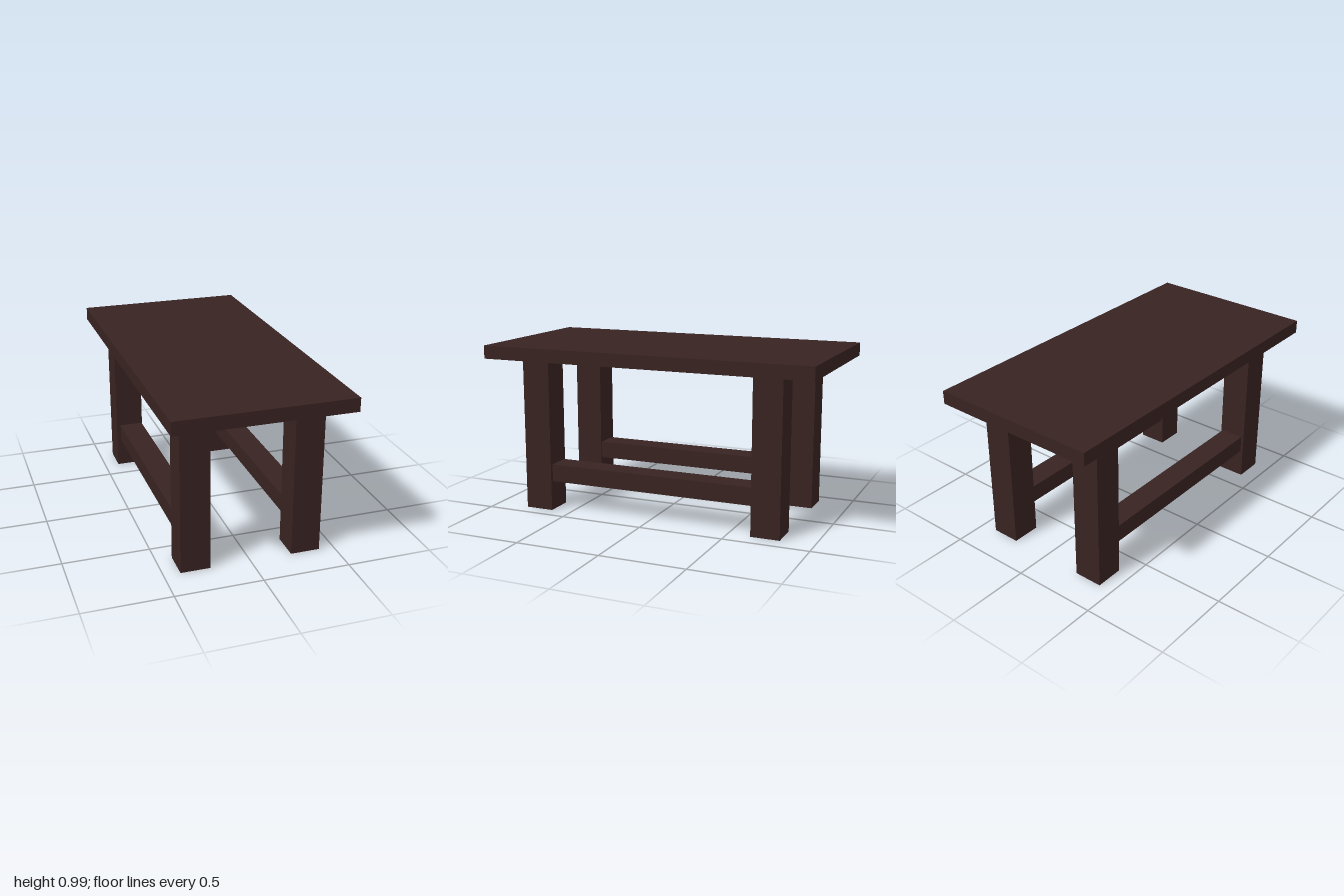
import * as THREE from 'three';

export function createModel() {
  const group = new THREE.Group();
  const wood = new THREE.MeshStandardMaterial({ color: 0x382322 });

  // Box spanning the given [min, max] range on each axis
  function beam(name, [x0, x1], [y0, y1], [z0, z1]) {
    const mesh = new THREE.Mesh(new THREE.BoxGeometry(x1 - x0, y1 - y0, z1 - z0), wood);
    mesh.position.set((x0 + x1) / 2, (y0 + y1) / 2, (z0 + z1) / 2);
    mesh.name = name;
    group.add(mesh);
  }

  // Table top
  beam('tableTop', [-0.505, 0.505], [0.912, 0.99], [-1, 1]);

  // Four square legs, set slightly unevenly: centre x, centre z
  const legs = {
    frontLeftLeg: [0.327, 0.709],
    frontRightLeg: [-0.32, 0.709],
    backLeftLeg: [0.318, -0.718],
    backRightLeg: [-0.328, -0.718],
  };
  const half = 0.085;
  for (const [name, [x, z]] of Object.entries(legs)) {
    beam(name, [x - half, x + half], [0, 0.912], [z - half, z + half]);
  }

  // Long rails joining the front and back legs on each side
  beam('leftRail', [0.25, 0.392], [0.175, 0.28], [-0.633, 0.624]);
  beam('rightRail', [-0.388, -0.246], [0.175, 0.28], [-0.633, 0.624]);

  return group;
}
